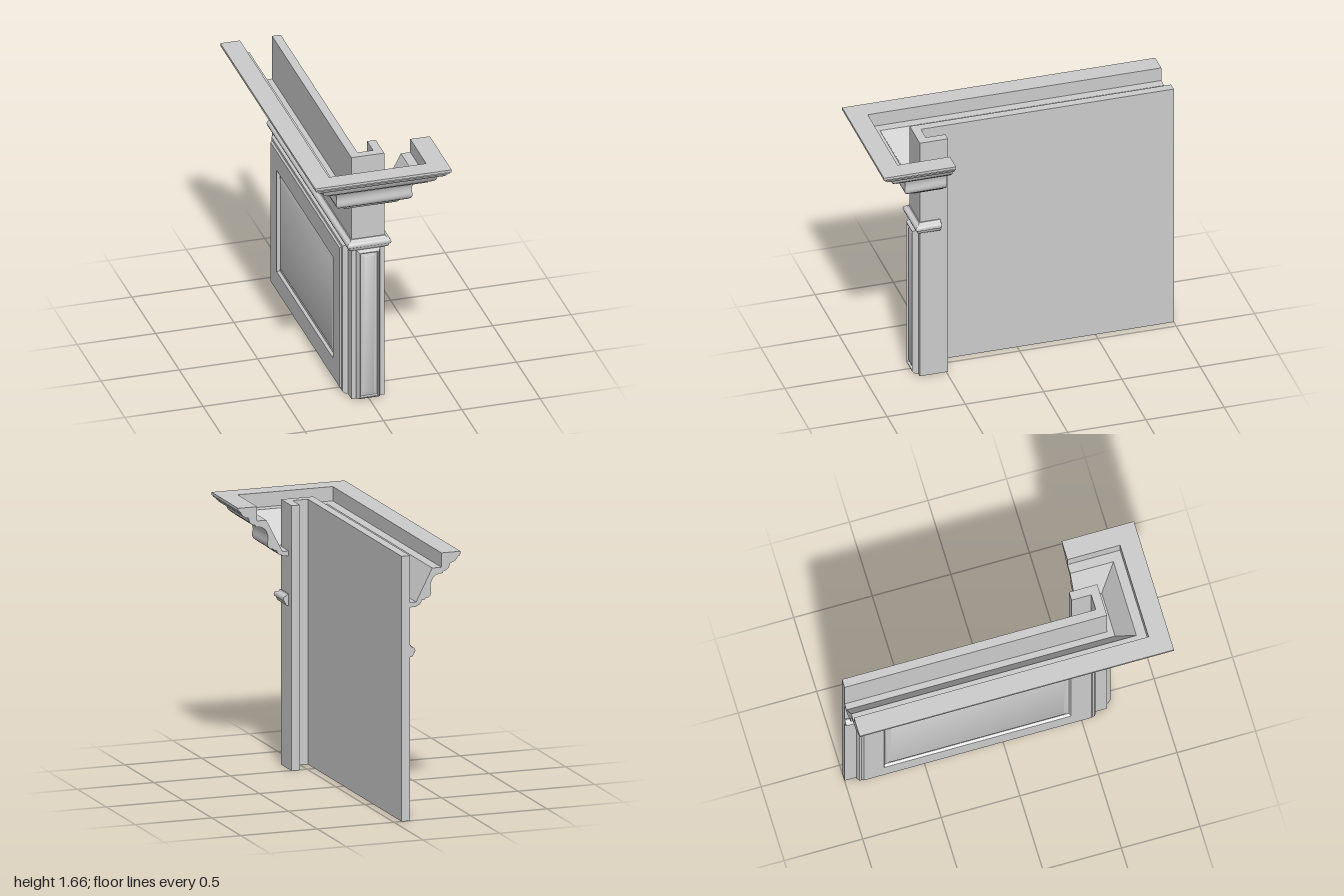
import * as THREE from 'three';
import { toCreasedNormals } from 'three/addons/utils/BufferGeometryUtils.js';

const material = new THREE.MeshStandardMaterial({ color: 0xcccccc });
const HEIGHT = 1.665;
const HALF = 0.105;   // half width of the post
const FRONT = 0.67;   // outer face of the post

function makeMesh(name, geometry) {
  const mesh = new THREE.Mesh(geometry, material);
  mesh.name = name;
  return mesh;
}

function fromTriangles(positions) {
  const g = new THREE.BufferGeometry();
  g.setAttribute('position', new THREE.Float32BufferAttribute(positions, 3));
  return toCreasedNormals(g, 0.62);
}

// Stations around the outside of the wall: x, z and the mitred outward direction
const trimPath = [
  [-HALF, -1, -1, 0],
  [-HALF, FRONT, -1, 1],
  [HALF, FRONT, 1, 1],
  [HALF, 0.54, 1, 0],
];

// Sweep a closed (distance from wall, height) profile along the mitred path
function sweepTrim(profile) {
  const positions = [];
  const n = profile.length;
  const point = (i, j) => {
    const [x, z, dx, dz] = trimPath[i];
    const [d, y] = profile[j % n];
    return [x + d * dx, y, z + d * dz];
  };
  for (let i = 0; i < trimPath.length - 1; i++) {
    for (let j = 0; j < n; j++) {
      const a = point(i, j), b = point(i + 1, j), c = point(i + 1, j + 1), e = point(i, j + 1);
      positions.push(...a, ...b, ...c, ...a, ...c, ...e);
    }
  }
  // End caps
  const last = trimPath.length - 1;
  const contour = profile.map(([d, y]) => new THREE.Vector2(d, y));
  for (const [a, b, c] of THREE.ShapeUtils.triangulateShape(contour, [])) {
    positions.push(...point(0, a), ...point(0, b), ...point(0, c));
    positions.push(...point(last, a), ...point(last, c), ...point(last, b));
  }
  return fromTriangles(positions);
}

// Moulded panel from nested rectangles, each given as [inset, depth]
function mouldedPanel(width, height, rings) {
  const positions = [];
  const corners = rings.map(([inset, d]) => {
    const w = width / 2 - inset, h = height / 2 - inset;
    return [[-w, -h, d], [w, -h, d], [w, h, d], [-w, h, d]];
  });
  for (let r = 0; r < corners.length - 1; r++) {
    for (let k = 0; k < 4; k++) {
      const a = corners[r][k], b = corners[r][(k + 1) % 4];
      const c = corners[r + 1][(k + 1) % 4], e = corners[r + 1][k];
      positions.push(...a, ...b, ...c, ...a, ...c, ...e);
    }
  }
  const [a, b, c, e] = corners[corners.length - 1];
  positions.push(...a, ...b, ...c, ...a, ...c, ...e);
  return fromTriangles(positions);
}

export function createModel() {
  const group = new THREE.Group();
  group.name = 'panelledWallEnd';

  // Long wall wrapping around the front into a short return
  const plan = [
    [-HALF, -1], [-HALF, FRONT], [HALF, FRONT], [HALF, 0.49],
    [0.05, 0.49], [0.05, 0.615], [-0.05, 0.615], [-0.05, -1],
  ];
  const wall = new THREE.ExtrudeGeometry(
    new THREE.Shape(plan.map(([x, z]) => new THREE.Vector2(x, -z))),
    { depth: HEIGHT, bevelEnabled: false });
  wall.rotateX(-Math.PI / 2);
  group.add(makeMesh('wall', wall));

  // Crown moulding with a hollow stepped back
  group.add(makeMesh('crownMoulding', sweepTrim([
    [0, 1.34], [0.04, 1.34], [0.042, 1.347], [0.06, 1.351], [0.072, 1.362], [0.077, 1.38],
    [0.095, 1.38], [0.097, 1.388], [0.118, 1.392], [0.132, 1.404], [0.139, 1.422],
    [0.137, 1.44], [0.134, 1.46], [0.137, 1.485], [0.148, 1.51], [0.168, 1.528],
    [0.19, 1.536], [0.215, 1.538], [0.215, 1.548], [0.238, 1.555], [0.254, 1.57],
    [0.262, 1.597], [0.274, 1.6], [0.295, 1.61], [0.308, 1.625], [0.313, 1.637],
    [0.322, 1.637], [0.322, 1.648], [0.33, 1.648], [0.33, HEIGHT],
    [0.205, HEIGHT], [0.205, 1.575], [0.145, 1.575], [0.04, 1.37], [0, 1.37],
  ])));

  // Rounded rail above the panels
  group.add(makeMesh('chairRail', sweepTrim([
    [0, 1.028], [0.012, 1.028], [0.019, 1.034], [0.022, 1.043], [0.024, 1.05],
    [0.032, 1.056], [0.035, 1.067], [0.032, 1.079], [0.024, 1.086],
    [0.014, 1.088], [0.008, 1.094], [0.006, 1.102], [0, 1.102],
  ])));

  // Narrow panel on the front of the post
  const front = makeMesh('frontPanel', mouldedPanel(0.15, 1.028, [
    [0, 0], [0, 0.008], [0.003, 0.02], [0.014, 0.035], [0.02, 0.035],
    [0.024, 0.022], [0.034, 0.024], [0.045, 0.031],
  ]));
  front.position.set(0, 0.514, FRONT);
  group.add(front);

  // Wide panel on the long side
  const side = makeMesh('sidePanel', mouldedPanel(1.52, 1.028, [
    [0, 0], [0, 0.01], [0.012, 0.03], [0.025, 0.032], [0.035, 0.043], [0.165, 0.043],
    [0.175, 0.026], [0.19, 0.026], [0.21, 0.036],
  ]));
  side.rotation.y = -Math.PI / 2;
  side.position.set(-HALF, 0.514, -0.165);
  group.add(side);

  return group;
}
